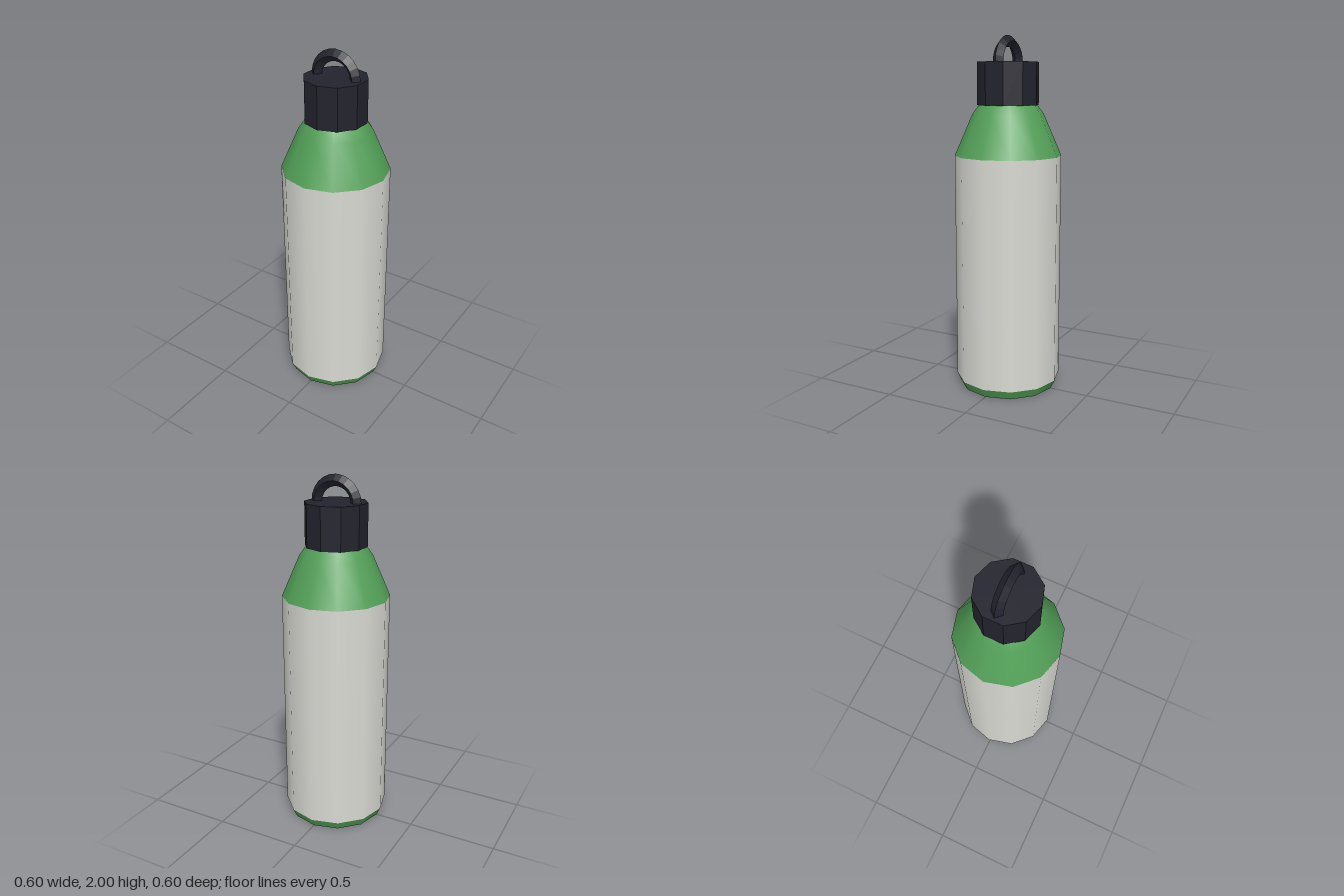
import * as THREE from 'three';

const flat = (name, color, opts = {}) => {
  const m = new THREE.MeshStandardMaterial({ color, ...opts });
  m.name = name;
  return m;
};

export function createModel() {
  const white = flat('warm white', 0xdadad4);
  const green = flat('green', 0x529f57);
  const dark = flat('dark navy', 0x23232e, { flatShading: true });

  const group = new THREE.Group();
  group.name = 'bottle';
  const add = (name, geometry, material, y = 0) => {
    const mesh = new THREE.Mesh(geometry, material);
    mesh.name = name;
    mesh.position.y = y;
    group.add(mesh);
    return mesh;
  };
  // Twelve-sided turned section, given as [radius, height] from bottom to top
  const turned = (points) =>
    new THREE.LatheGeometry(points.map(([r, y]) => new THREE.Vector2(r, y)), 12);

  // Bottle: base, straight body and sloping shoulder
  add('baseBottom', new THREE.CircleGeometry(0.277, 12).rotateX(Math.PI / 2), green);
  add('baseRim', turned([[0.277, 0], [0.3, 0.05]]), green);
  add('body', turned([[0.3, 0.05], [0.3, 1.34]]), white);
  add('shoulder', turned([[0.3, 1.34], [0.2, 1.57], [0.16, 1.625]]), green);

  // Ten-sided cap with a diamond-section carrying loop
  add('cap', new THREE.CylinderGeometry(0.173, 0.173, 0.235, 10), dark, 1.7375);
  add('carryLoop', new THREE.TorusGeometry(0.118, 0.032, 4, 12, Math.PI), dark, 1.85);

  return group;
}
